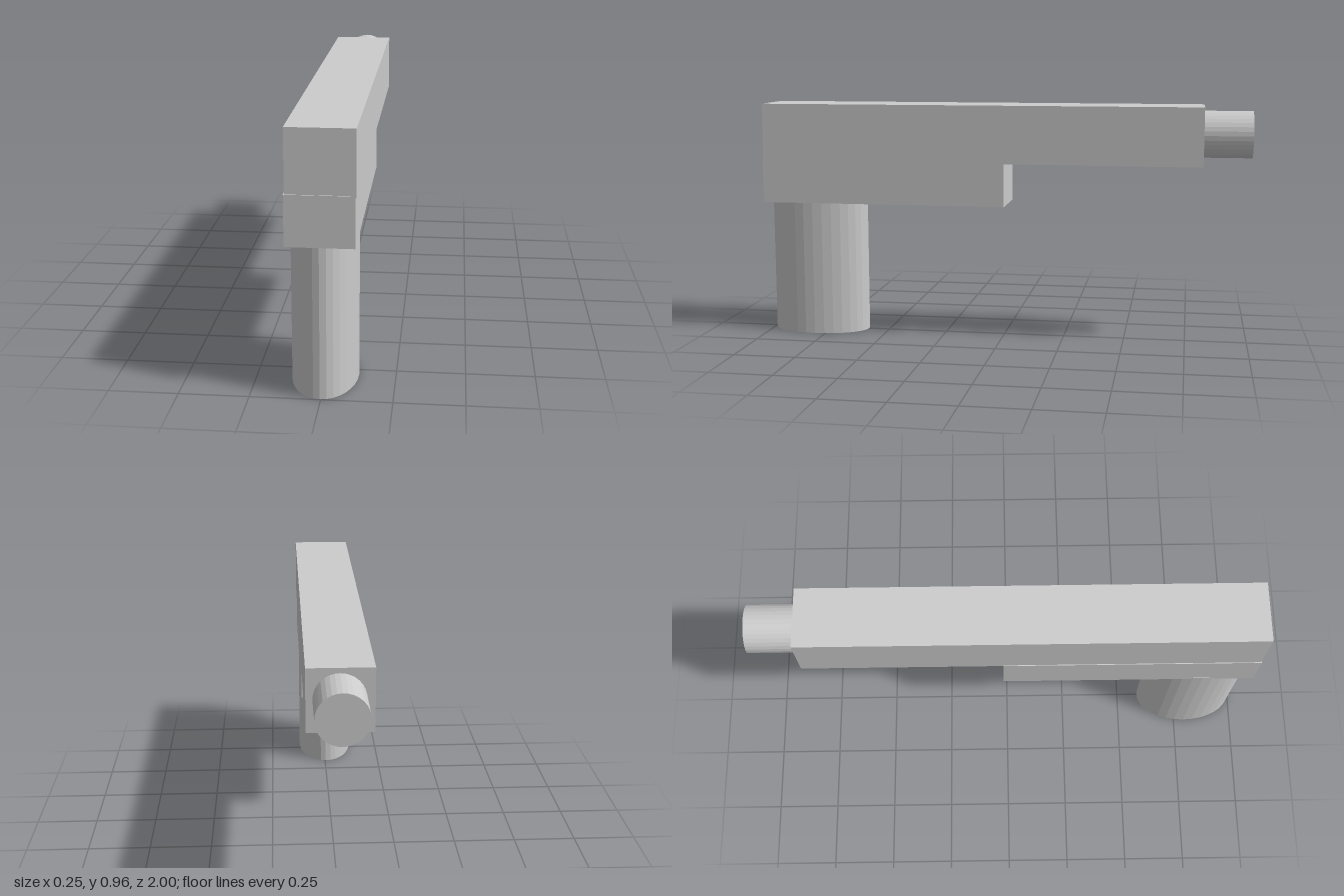
import * as THREE from 'three';

export function createModel() {
  const model = new THREE.Group();
  const material = new THREE.MeshStandardMaterial({ color: 0xcccccc, flatShading: true });

  function add(name, geometry, x, y, z) {
    const mesh = new THREE.Mesh(geometry, material);
    mesh.name = name;
    mesh.position.set(x, y, z);
    model.add(mesh);
    return mesh;
  }

  // Long upper block
  add('upperBody', new THREE.BoxGeometry(0.24, 0.235, 1.805), 0.003, 0.8475, 0.0935);

  // Shorter block beneath it, flush with the front end
  add('lowerBody', new THREE.BoxGeometry(0.24, 0.182, 1.015), 0, 0.646, 0.4925);

  // Round stub at the back end, seated slightly inside the upper block
  const barrel = new THREE.CylinderGeometry(0.094, 0.094, 0.22, 32).rotateX(Math.PI / 2);
  add('barrel', barrel, 0.005, 0.852, -0.89);

  // Oval handle
  const handle = new THREE.CylinderGeometry(1, 1, 0.57, 32).scale(0.12, 1, 0.204);
  add('handle', handle, -0.003, 0.285, 0.793);

  return model;
}
